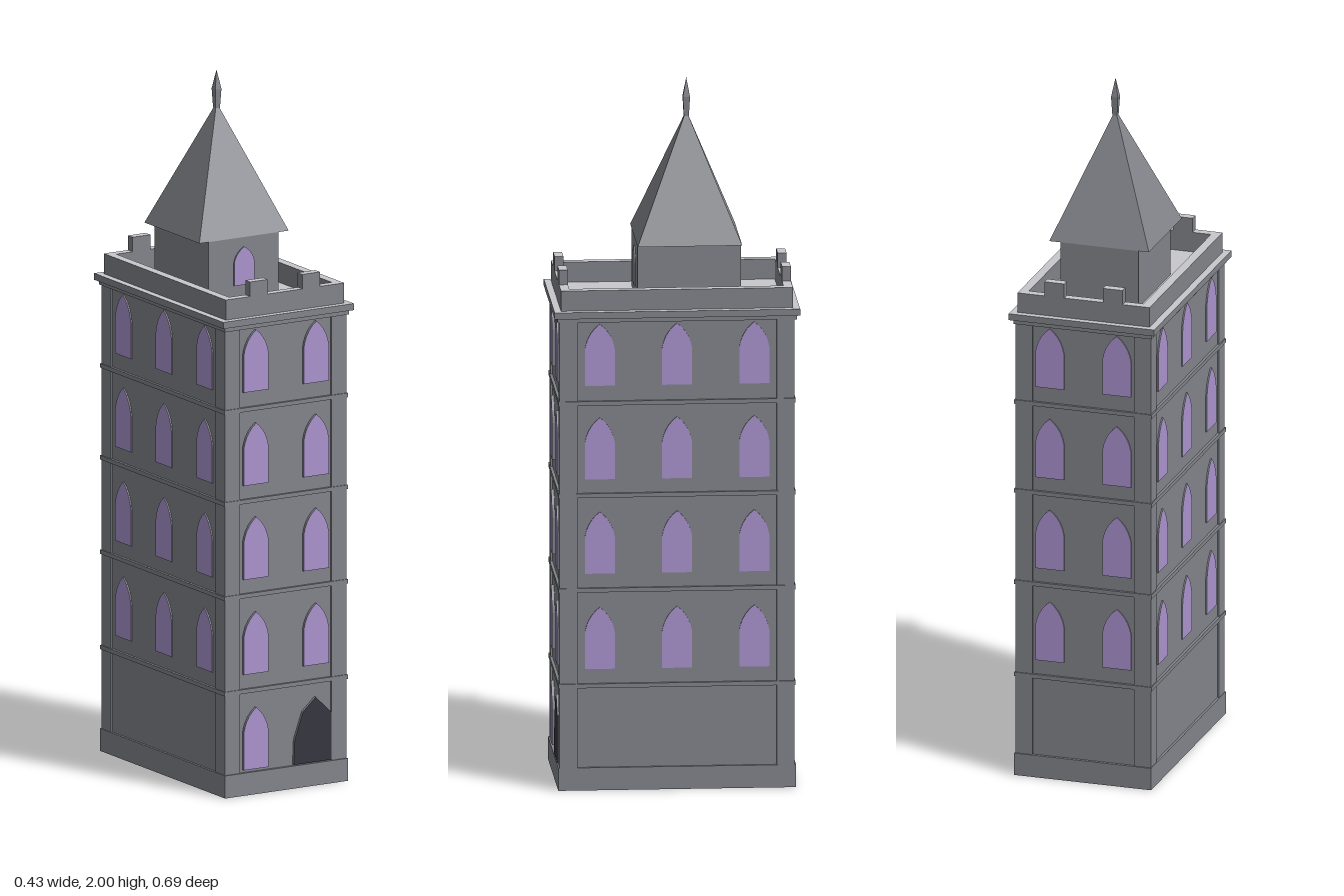
import * as THREE from 'three';

const stone = new THREE.MeshStandardMaterial({ color: 0x83858b });
const paleStone = new THREE.MeshStandardMaterial({ color: 0xc8c8cd });
const glass = new THREE.MeshStandardMaterial({ color: 0xab94cf });
const doorDark = new THREE.MeshStandardMaterial({ color: 0x353440 });

// stone box with a pale upper face
const paleTop = [stone, stone, paleStone, stone, stone, stone];

export function createModel() {
  const tower = new THREE.Group();
  tower.name = 'tower';

  const add = (name, geometry, material, x = 0, y = 0, z = 0, parent = tower) => {
    const mesh = new THREE.Mesh(geometry, material);
    mesh.name = name;
    mesh.position.set(x, y, z);
    parent.add(mesh);
    return mesh;
  };
  // box given by its centre in plan and its bottom and top heights
  const box = (name, w, d, y0, y1, x = 0, z = 0, material = stone) =>
    add(name, new THREE.BoxGeometry(w, y1 - y0, d), material, x, (y0 + y1) / 2, z);
  // four-sided faceted frustum aligned with the axes
  const pyramid = (name, top, bottom, y0, y1, z) => {
    const g = new THREE.CylinderGeometry(top * Math.SQRT2, bottom * Math.SQRT2, y1 - y0, 4, 1)
      .rotateY(Math.PI / 4).toNonIndexed();
    g.computeVertexNormals();
    return add(name, g, stone, 0, (y0 + y1) / 2, z);
  };

  // shaft: plinth, recessed walls and corner piers
  box('plinth', 0.404, 0.668, 0, 0.065);
  box('walls', 0.39, 0.65, 0.065, 1.345);
  for (const sx of [-1, 1])
    for (const sz of [-1, 1])
      box('cornerPier', 0.05, 0.05, 0.065, 1.345, sx * 0.175, sz * 0.305);

  // string courses between the storeys
  for (const y of [0.3, 0.575, 0.847, 1.112])
    box('stringCourse', 0.406, 0.666, y - 0.006, y + 0.006);

  // pointed window plates
  const windowGeometry = (w, h, shoulder, depth) => {
    const s = new THREE.Shape();
    s.moveTo(-w / 2, 0);
    s.lineTo(w / 2, 0);
    s.lineTo(w / 2, shoulder);
    s.quadraticCurveTo(w * 0.42, h * 0.85, 0, h);
    s.quadraticCurveTo(-w * 0.42, h * 0.85, -w / 2, shoulder);
    s.closePath();
    return new THREE.ExtrudeGeometry(s, { depth, bevelEnabled: false, curveSegments: 5 });
  };
  const frontPane = windowGeometry(0.082, 0.177, 0.105, 0.008);
  const flatPane = windowGeometry(0.084, 0.177, 0.105, 0.004);
  const paneMaterials = [glass, stone];

  // each facade carries its windows in its own frame, facing local +z
  const facade = (name, angle, distance, columns, rows, pane) => {
    const group = new THREE.Group();
    group.name = name;
    group.rotation.y = angle;
    tower.add(group);
    for (const y of rows)
      for (const x of columns) add('window', pane, paneMaterials, x, y, distance, group);
    return group;
  };
  const rows = [0.348, 0.622, 0.893, 1.162];
  const front = facade('frontFacade', 0, 0.325, [-0.099, 0.099], rows, frontPane);
  facade('backFacade', Math.PI, 0.325, [-0.099, 0.099], rows, flatPane);
  facade('leftFacade', Math.PI / 2, 0.195, [-0.217, 0, 0.217], rows, flatPane);
  facade('rightFacade', -Math.PI / 2, 0.195, [-0.217, 0, 0.217], rows, flatPane);

  // ground floor window and lopsided doorway
  add('groundWindow', frontPane, paneMaterials, -0.099, 0.073, 0.325, front);
  const doorShape = new THREE.Shape([
    [0.025, 0.068], [0.148, 0.068], [0.148, 0.205], [0.097, 0.255], [0.055, 0.217], [0.028, 0.14],
  ].map(([x, y]) => new THREE.Vector2(x, y)));
  add('door', new THREE.ExtrudeGeometry(doorShape, { depth: 0.008, bevelEnabled: false }),
    [doorDark, stone], 0, 0, 0.325, front);

  // cornice and roof terrace
  box('corniceMoulding', 0.408, 0.672, 1.345, 1.358);
  box('cornice', 0.43, 0.69, 1.358, 1.377, 0, 0, paleTop);

  // parapet with merlons at front and back
  for (const s of [-1, 1]) {
    box('sideParapet', 0.026, 0.602, 1.377, 1.435, s * 0.182, 0, paleTop);
    box('endParapet', 0.39, 0.025, 1.377, 1.435, 0, s * 0.3135, paleTop);
    for (const sx of [-1, 1])
      box('merlon', 0.058, 0.025, 1.435, 1.477, sx * 0.086, s * 0.3135, paleTop);
  }

  // turret, spire and finial
  const cz = -0.04;
  box('turret', 0.23, 0.29, 1.377, 1.547, 0, cz);
  add('turretWindow', windowGeometry(0.066, 0.11, 0.066, 0.004), paneMaterials, 0, 1.41, cz + 0.145);
  pyramid('spire', 0, 0.147, 1.547, 1.905, cz);
  pyramid('finialShaft', 0.01, 0.007, 1.89, 1.945, cz);
  pyramid('finialTip', 0, 0.01, 1.945, 2, cz);

  return tower;
}
